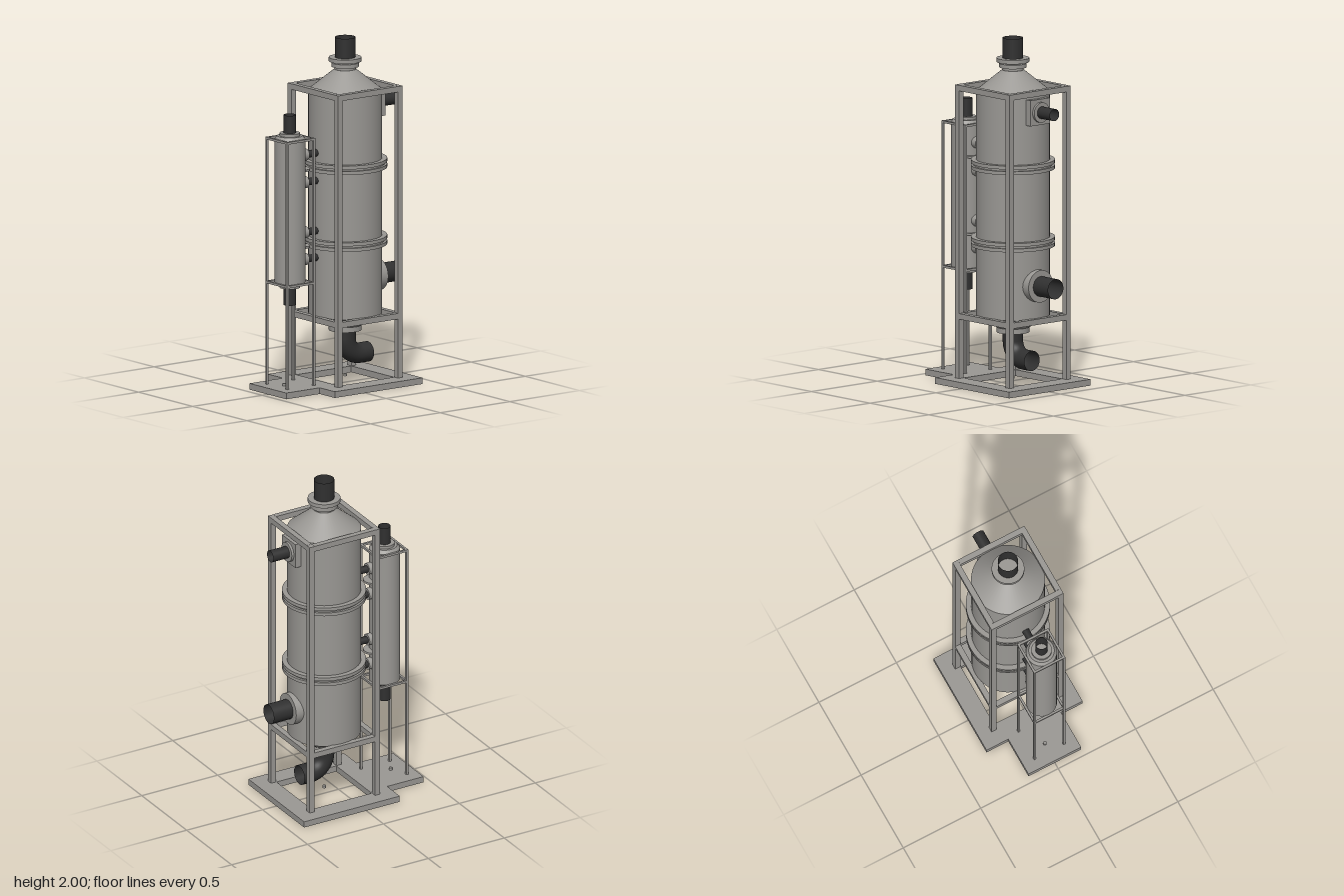
import * as THREE from 'three';

const steel = new THREE.MeshStandardMaterial({ color: 0x9a9894 });
steel.name = 'steel grey';
const pipeBlack = new THREE.MeshStandardMaterial({ color: 0x303030, side: THREE.DoubleSide });
pipeBlack.name = 'pipe black';

const CX = 0.095;   // axis of the main vessel
const SX = -0.302;  // axis of the slim side vessel

function add(parent, name, geometry, x, y, z, material = steel) {
  const mesh = new THREE.Mesh(geometry, material);
  mesh.name = name;
  mesh.position.set(x, y, z);
  parent.add(mesh);
  return mesh;
}

function box(parent, name, x0, x1, y0, y1, z0, z1) {
  return add(parent, name, new THREE.BoxGeometry(x1 - x0, y1 - y0, z1 - z0),
    (x0 + x1) / 2, (y0 + y1) / 2, (z0 + z1) / 2);
}

// Vertical round part between two heights
function upright(parent, name, x, y0, y1, r0, r1 = r0, material = steel) {
  const open = material === pipeBlack;
  return add(parent, name, new THREE.CylinderGeometry(r1, r0, y1 - y0, 48, 1, open), x, (y0 + y1) / 2, 0, material);
}

// Horizontal round part between two x positions
function sideways(parent, name, y, x0, x1, r, material = steel) {
  const open = material === pipeBlack;
  const geometry = new THREE.CylinderGeometry(r, r, x1 - x0, 40, 1, open).rotateZ(-Math.PI / 2);
  return add(parent, name, geometry, (x0 + x1) / 2, y, 0, material);
}

// Four legs with square beam frames at the given heights
function frame(parent, cx, half, t, y0, y1, beams) {
  for (const sx of [-1, 1]) for (const sz of [-1, 1]) {
    add(parent, 'frameLeg', new THREE.BoxGeometry(t, y1 - y0, t),
      cx + sx * (half - t / 2), (y0 + y1) / 2, sz * (half - t / 2));
  }
  for (const y of beams) for (const s of [-1, 1]) {
    add(parent, 'frameBeam', new THREE.BoxGeometry(2 * (half - t), t, t), cx, y, s * (half - t / 2));
    add(parent, 'frameBeam', new THREE.BoxGeometry(t, t, 2 * (half - t)), cx + s * (half - t / 2), y, 0);
  }
}

function group(parent, name) {
  const g = new THREE.Group();
  g.name = name;
  parent.add(g);
  return g;
}

export function createModel() {
  const model = new THREE.Group();
  model.name = 'scrubberTower';

  // Base: square plate with an opening, plus a smaller solid plate
  const base = group(model, 'base');
  const plate = new THREE.Shape();
  plate.moveTo(-0.22, -0.31).lineTo(0.41, -0.31).lineTo(0.41, 0.31).lineTo(-0.22, 0.31).closePath();
  const hole = new THREE.Path();
  hole.moveTo(CX - 0.197, -0.197).lineTo(CX - 0.197, 0.197).lineTo(CX + 0.197, 0.197)
    .lineTo(CX + 0.197, -0.197).closePath();
  plate.holes.push(hole);
  const plateGeometry = new THREE.ExtrudeGeometry(plate, { depth: 0.036, bevelEnabled: false });
  add(base, 'mainPlate', plateGeometry.rotateX(-Math.PI / 2), 0, 0, 0);
  box(base, 'sidePlate', -0.46, -0.22, 0, 0.036, -0.17, 0.17);
  for (const x of [CX, -0.343]) upright(base, 'centreStud', x, 0.036, 0.05, 0.01);

  // Frames
  frame(group(model, 'mainFrame'), CX, 0.232, 0.033, 0.036, 1.725, [0.394, 1.709]);
  frame(group(model, 'sideFrame'), SX + 0.003, 0.101, 0.013, 0.036, 1.468, [0.628, 1.461]);

  // Main vessel
  const vessel = group(model, 'mainVessel');
  upright(vessel, 'shell', CX, 0.405, 1.695, 0.21);
  upright(vessel, 'topCone', CX, 1.695, 1.815, 0.21, 0.062);
  upright(vessel, 'bottomCone', CX, 0.335, 0.405, 0.095, 0.21);
  upright(vessel, 'neck', CX, 1.81, 1.88, 0.06);
  upright(vessel, 'neckFlange', CX, 1.83, 1.853, 0.078);
  upright(vessel, 'neckFlange', CX, 1.861, 1.884, 0.093);
  upright(vessel, 'outletFlange', CX, 0.305, 0.337, 0.093);
  for (const y of [0.83, 1.275]) {
    upright(vessel, 'jointCore', CX, y - 0.006, y + 0.006, 0.225);
    for (const s of [-1, 1]) upright(vessel, 'jointFlange', CX, y + s * 0.016 - 0.01, y + s * 0.016 + 0.01, 0.239);
  }
  upright(vessel, 'topPipe', CX, 1.88, 2, 0.058, 0.058, pipeBlack);

  // Drain elbow turning toward +x
  const path = new THREE.CurvePath();
  const v = (x, y) => new THREE.Vector3(x, y, 0);
  const bend = 0.1, yOut = 0.158, k = 0.5523 * bend;
  path.add(new THREE.LineCurve3(v(CX, 0.31), v(CX, yOut + bend)));
  path.add(new THREE.CubicBezierCurve3(v(CX, yOut + bend), v(CX, yOut + bend - k),
    v(CX + bend - k, yOut), v(CX + bend, yOut)));
  path.add(new THREE.LineCurve3(v(CX + bend, yOut), v(0.258, yOut)));
  add(vessel, 'drainElbow', new THREE.TubeGeometry(path, 32, 0.058, 32), 0, 0, 0, pipeBlack);

  // Side nozzles on the +x side
  box(vessel, 'upperNozzlePad', 0.27, 0.328, 1.527, 1.675, -0.074, 0.074);
  sideways(vessel, 'upperNozzleFlange', 1.6, 0.31, 0.342, 0.058);
  sideways(vessel, 'upperNozzlePipe', 1.6, 0.34, 0.45, 0.035, pipeBlack);
  sideways(vessel, 'lowerNozzleFlange', 0.598, 0.28, 0.333, 0.093);
  sideways(vessel, 'lowerNozzlePipe', 0.598, 0.33, 0.46, 0.058, pipeBlack);

  // Slim side vessel
  const slim = group(model, 'sideVessel');
  upright(slim, 'shell', SX, 0.63, 1.46, 0.088);
  upright(slim, 'topStep', SX, 1.46, 1.48, 0.088, 0.073);
  upright(slim, 'topFlange', SX, 1.48, 1.496, 0.058);
  upright(slim, 'bottomStep', SX, 0.615, 0.63, 0.073, 0.088);
  upright(slim, 'bottomFlange', SX, 0.6, 0.615, 0.058);
  upright(slim, 'topPipe', SX, 1.495, 1.6, 0.035, 0.035, pipeBlack);
  upright(slim, 'bottomPipe', SX, 0.5, 0.602, 0.035, 0.035, pipeBlack);

  // Linking pipes between the vessels, with brackets between each pair
  const links = group(model, 'linkPipes');
  for (const y of [0.75, 0.905, 1.195, 1.355]) {
    sideways(links, 'linkFlange', y, -0.225, -0.186, 0.034);
    sideways(links, 'linkPipe', y, -0.19, -0.11, 0.021, pipeBlack);
  }
  for (const y of [0.83, 1.275]) upright(links, 'bracketDisc', -0.232, y - 0.006, y + 0.006, 0.06);

  return model;
}
